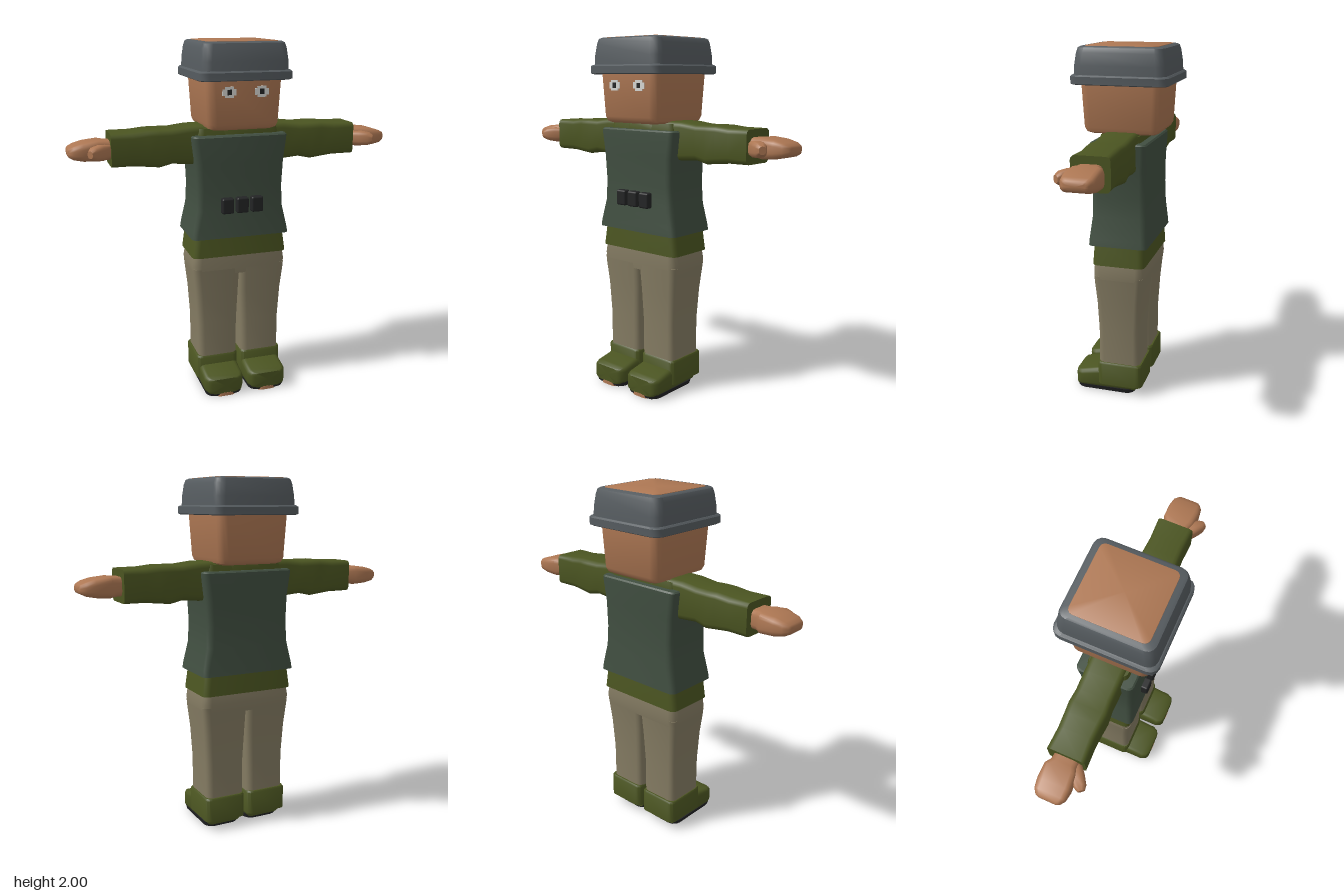
import * as THREE from 'three';
import { toCreasedNormals } from 'three/addons/utils/BufferGeometryUtils.js';
import { RoundedBoxGeometry } from 'three/addons/geometries/RoundedBoxGeometry.js';

const material = (name, color) => {
  const m = new THREE.MeshStandardMaterial({ color });
  m.name = name;
  return m;
};

// Rounded-rectangle sections [height, halfX, halfZ, cornerRadius, centreX, centreZ] joined along +y.
function loft(sections) {
  const pos = [], index = [], seg = 3, n = 4 * (seg + 1);
  for (const [y, hx, hz, r, cx = 0, cz = 0] of sections) {
    for (let c = 0; c < 4; c++) {
      const sx = c === 0 || c === 3 ? 1 : -1, sz = c < 2 ? 1 : -1;
      for (let s = 0; s <= seg; s++) {
        const t = (c + s / seg) * Math.PI / 2;
        pos.push(cx + sx * (hx - r) + r * Math.cos(t), y, cz + sz * (hz - r) + r * Math.sin(t));
      }
    }
  }
  const last = sections.length - 1;
  for (let i = 0; i < last; i++) {
    for (let j = 0; j < n; j++) {
      const a = i * n + j, b = i * n + (j + 1) % n;
      index.push(a, a + n, b + n, a, b + n, b);
    }
  }
  // End caps
  for (const i of [0, last]) {
    const [y, , , , cx = 0, cz = 0] = sections[i];
    const centre = pos.length / 3;
    pos.push(cx, y, cz);
    for (let j = 0; j < n; j++) {
      const a = i * n + j, b = i * n + (j + 1) % n;
      if (i) index.push(centre, b, a);
      else index.push(centre, a, b);
    }
  }
  const g = new THREE.BufferGeometry();
  g.setAttribute('position', new THREE.Float32BufferAttribute(pos, 3));
  g.setIndex(index);
  return toCreasedNormals(g, 0.7);
}

export function createModel() {
  const model = new THREE.Group();
  model.name = 'soldierFigure';
  const skin = material('skin', 0xad7753);
  const olive = material('olive', 0x4b5521);
  const vestGreen = material('vestGreen', 0x414f41);
  const khaki = material('khaki', 0x857c63);
  const grey = material('helmetGrey', 0x565c60);
  const black = material('black', 0x232425);
  const white = material('eyeWhite', 0xd8d8d4);

  const add = (name, geometry, mat, x = 0, y = 0, z = 0) => {
    const mesh = new THREE.Mesh(geometry, mat);
    mesh.name = name;
    mesh.position.set(x, y, z);
    model.add(mesh);
    return mesh;
  };

  // Head, reaching through the open crown of the helmet
  add('head', loft([
    [1.535, 0.165, 0.18, 0.03], [1.545, 0.19, 0.2, 0.04], [1.57, 0.199, 0.212, 0.045],
    [1.8, 0.211, 0.223, 0.045], [1.94, 0.207, 0.215, 0.04], [1.999, 0.195, 0.2, 0.03], [2, 0.193, 0.198, 0.03],
  ]), skin);
  add('neck', loft([[1.45, 0.085, 0.08, 0.03], [1.55, 0.085, 0.08, 0.03]]), skin);

  // Helmet
  add('helmetBrim', loft([
    [1.8, 0.25, 0.26, 0.05], [1.805, 0.259, 0.269, 0.05], [1.843, 0.259, 0.269, 0.05], [1.851, 0.25, 0.26, 0.05],
  ]), grey);
  add('helmetCrown', loft([
    [1.84, 0.243, 0.255, 0.05], [1.9, 0.241, 0.252, 0.05], [1.965, 0.233, 0.243, 0.05],
    [1.99, 0.224, 0.235, 0.045], [1.997, 0.212, 0.22, 0.04],
  ]), grey);

  // Torso clothing
  add('shirt', loft([
    [0.81, 0.278, 0.15, 0.035, 0, -0.004], [0.93, 0.262, 0.145, 0.035, 0, -0.004],
    [1.1, 0.23, 0.13, 0.035], [1.5, 0.235, 0.115, 0.035], [1.535, 0.225, 0.108, 0.03],
  ]), olive);
  add('collar', loft([[1.5, 0.11, 0.115, 0.03], [1.535, 0.105, 0.112, 0.03], [1.548, 0.09, 0.1, 0.03]]), olive);
  add('vest', loft([
    [0.925, 0.284, 0.167, 0.03, 0, -0.002], [0.96, 0.279, 0.165, 0.03, 0, -0.002],
    [1.08, 0.254, 0.156, 0.035, 0, -0.003], [1.2, 0.248, 0.153, 0.035, 0, -0.002],
    [1.35, 0.254, 0.156, 0.035, 0, 0.001], [1.47, 0.268, 0.159, 0.03], [1.492, 0.27, 0.158, 0.03],
    [1.5, 0.262, 0.15, 0.025],
  ]), vestGreen);
  for (const x of [-0.085, 0, 0.085]) {
    add('pouch', new RoundedBoxGeometry(0.068, 0.087, 0.05, 2, 0.01), black, x, 1.113, 0.165);
  }

  // Hips
  add('hips', loft([
    [0.7, 0.268, 0.14, 0.04], [0.76, 0.275, 0.147, 0.045, 0, -0.002], [0.82, 0.264, 0.142, 0.04],
  ]), khaki);

  for (const side of [1, -1]) {
    const s = side > 0 ? 'left' : 'right';

    // Eye
    const eye = [side * 0.09, 1.74];
    add(s + 'EyeWhite', new THREE.BoxGeometry(0.078, 0.034, 0.006), white, ...eye, 0.221);
    add(s + 'EyeWhiteTall', new THREE.BoxGeometry(0.05, 0.058, 0.006), white, ...eye, 0.2215);
    add(s + 'Pupil', new THREE.BoxGeometry(0.024, 0.028, 0.004), black, ...eye, 0.2245);

    // Trouser leg, tapering away from the inner seam
    const leg = (y, inner, outer, front, back) =>
      [y, (outer - inner) / 2, (front + back) / 2, 0.035, side * (outer + inner) / 2, (front - back) / 2];
    add(s + 'Leg', loft([
      leg(0.15, 0.015, 0.245, 0.124, 0.121), leg(0.4, 0.012, 0.247, 0.124, 0.121),
      leg(0.58, 0.004, 0.257, 0.131, 0.13), leg(0.7, 0, 0.269, 0.141, 0.14), leg(0.74, 0, 0.272, 0.143, 0.145),
    ]), khaki);

    // Boot cuff, shoe, sole and bare patch under the foot
    add(s + 'BootCuff', loft([
      [0.055, 0.124, 0.134, 0.035], [0.185, 0.124, 0.134, 0.035], [0.195, 0.117, 0.127, 0.03],
    ]), olive, side * 0.134, 0, -0.003);
    const shoe = loft([
      [-0.09, 0.105, 0.06, 0.025, 0, -0.078], [0.12, 0.115, 0.063, 0.028, 0, -0.081],
      [0.23, 0.115, 0.051, 0.025, 0, -0.069], [0.26, 0.1, 0.048, 0.02, 0, -0.066],
      [0.27, 0.08, 0.045, 0.02, 0, -0.063],
    ]).rotateX(Math.PI / 2);
    add(s + 'Shoe', shoe, olive, side * 0.13);
    add(s + 'Sole', loft([
      [0.004, 0.105, 0.175, 0.05], [0.03, 0.112, 0.18, 0.05],
    ]), black, side * 0.13, 0, 0.09);
    add(s + 'FootPatch', loft([
      [0, 0.06, 0.15, 0.03], [0.02, 0.052, 0.15, 0.03],
    ]), skin, side * 0.125, 0, 0.121);

    // Sleeve, running outward along x
    const outward = (sections) => loft(sections.map(([x, hy, hz, r, up = 0, z = 0]) =>
      [x, hy, hz, r, -side * up, z])).rotateZ(-side * Math.PI / 2);
    add(s + 'Sleeve', outward([
      [0.15, 0.105, 0.1, 0.03, 0.008], [0.27, 0.104, 0.1, 0.03, 0.006], [0.37, 0.094, 0.099, 0.03, 0.004],
      [0.44, 0.102, 0.105, 0.03, -0.003], [0.5, 0.099, 0.101, 0.03], [0.58, 0.091, 0.098, 0.03],
      [0.7, 0.089, 0.102, 0.025],
    ]), olive, 0, 1.438, -0.004);

    // Hand and thumb
    add(s + 'Hand', outward([
      [0.66, 0.05, 0.065, 0.03], [0.73, 0.052, 0.07, 0.03, 0, -0.004], [0.76, 0.055, 0.086, 0.03, 0, -0.008],
      [0.84, 0.048, 0.09, 0.03, -0.002, -0.006], [0.89, 0.036, 0.083, 0.025, -0.004, -0.006],
      [0.915, 0.024, 0.065, 0.02, -0.004, -0.006], [0.922, 0.014, 0.05, 0.012, -0.004, -0.006],
    ]), skin, 0, 1.436, 0);
    const thumb = add(s + 'Thumb', outward([
      [-0.06, 0.036, 0.036, 0.02], [0, 0.042, 0.036, 0.025], [0.05, 0.036, 0.031, 0.022], [0.075, 0.02, 0.018, 0.014],
    ]), skin, side * 0.755, 1.433, 0.08);
    thumb.rotation.y = -side * 0.68;
  }
  return model;
}
